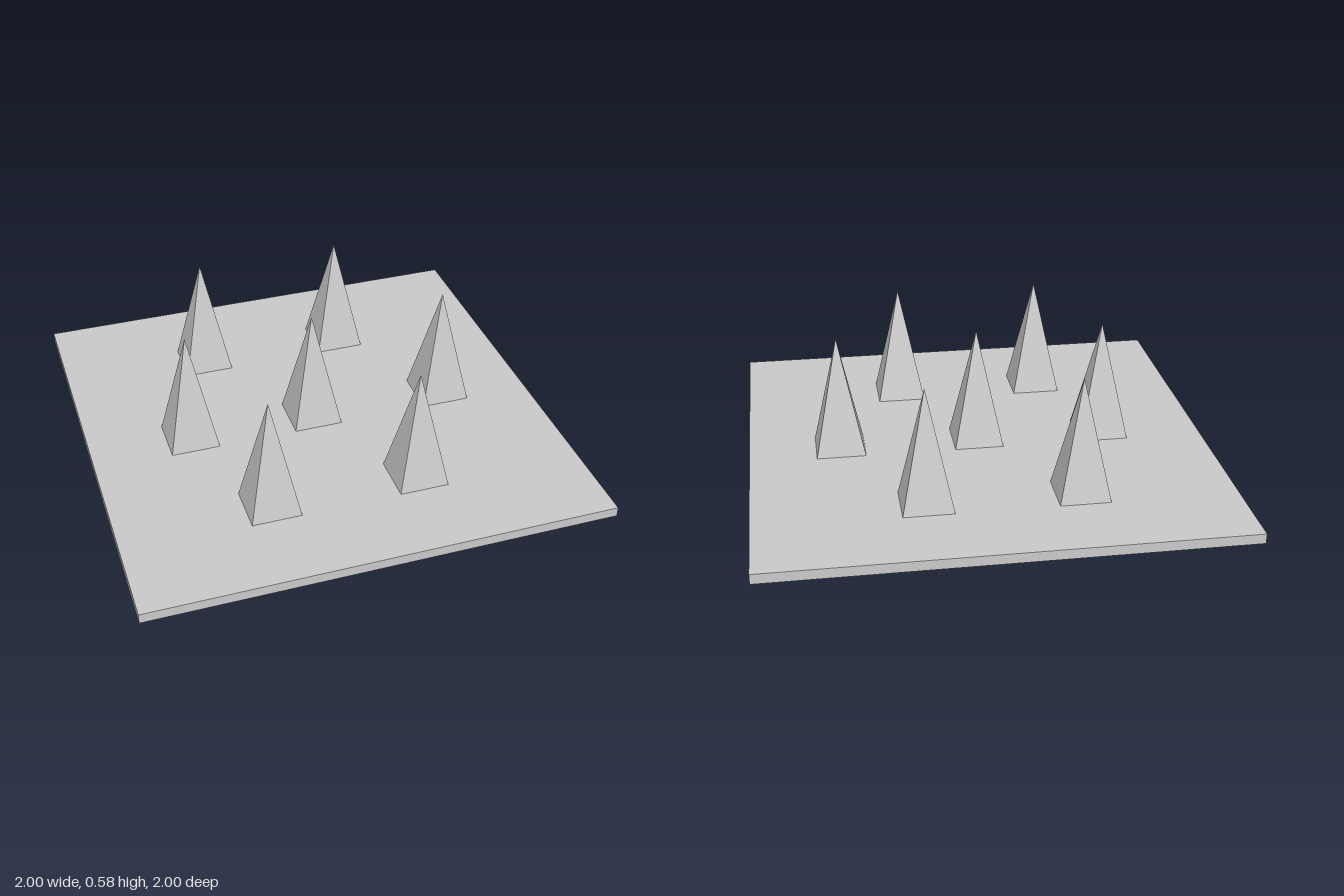
import * as THREE from 'three';

export function createModel() {
  const model = new THREE.Group();
  model.name = 'spikeTrap';
  const material = new THREE.MeshStandardMaterial({ color: 0xcccccc, flatShading: true });

  // Square floor plate, raised slightly above the spike bases
  const plate = new THREE.Mesh(new THREE.BoxGeometry(2, 0.043, 2), material);
  plate.name = 'plate';
  plate.position.y = 0.0455;
  model.add(plate);

  // Four-sided spike with its base on y = 0, passing through the plate
  const height = 0.58, halfWidth = 0.12;
  const spikeGeometry = new THREE.ConeGeometry(halfWidth * Math.SQRT2, height, 4)
    .rotateY(Math.PI / 4)
    .translate(0, height / 2, 0);

  // Spike rows from back to front
  const rows = [
    { z: -0.56, xs: [-0.353, 0.288] },
    { z: 0, xs: [-0.557, 0, 0.604] },
    { z: 0.543, xs: [-0.353, 0.288] },
  ];
  const spikes = new THREE.Group();
  spikes.name = 'spikes';
  for (const { z, xs } of rows) {
    for (const x of xs) {
      const spike = new THREE.Mesh(spikeGeometry, material);
      spike.name = 'spike';
      spike.position.set(x, 0, z);
      spikes.add(spike);
    }
  }
  model.add(spikes);
  return model;
}
